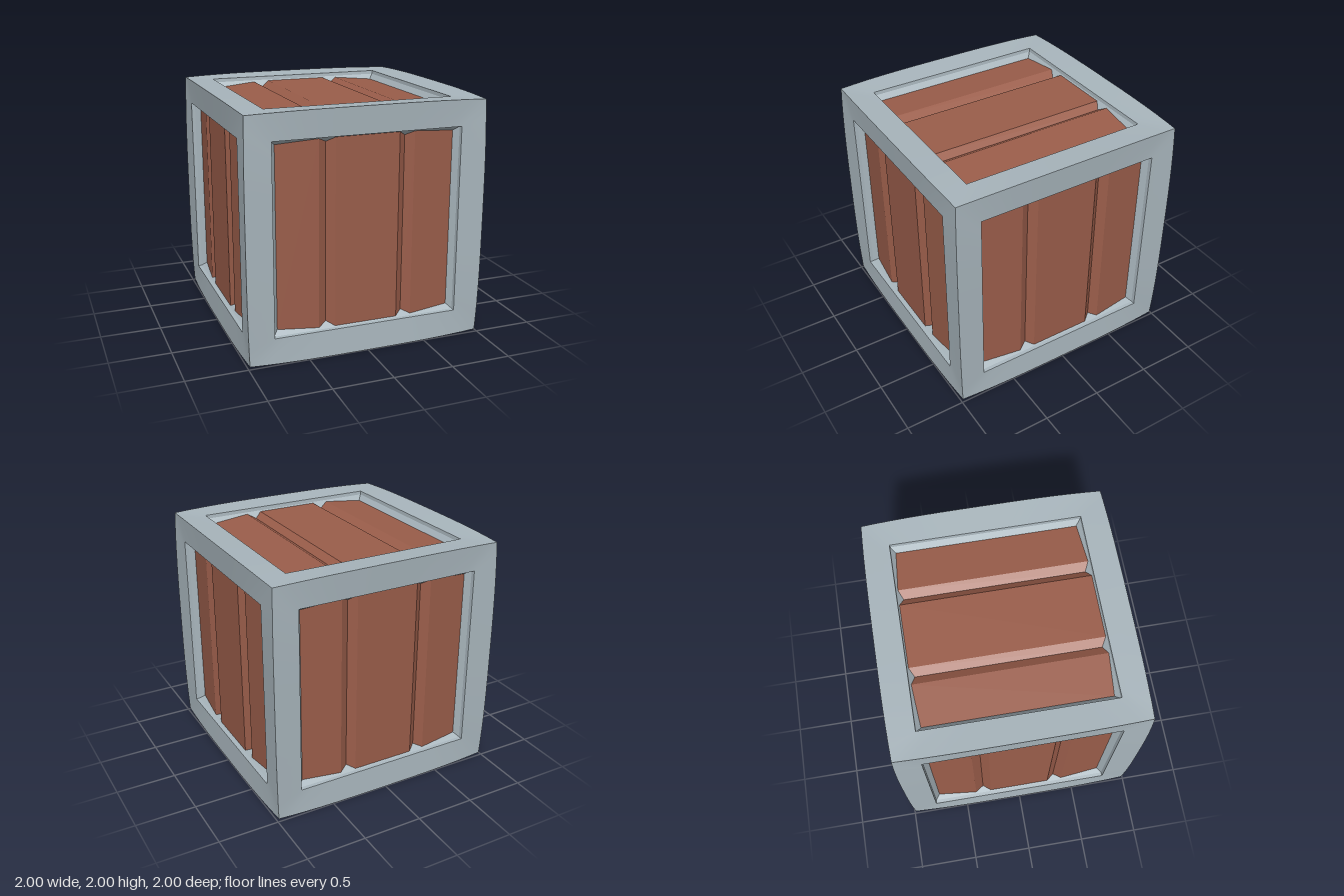
import * as THREE from 'three';
import { mergeGeometries, toCreasedNormals } from 'three/addons/utils/BufferGeometryUtils.js';

// Recess wall: half width and depth at the rim, at the bend and behind the planks
const RIM = [0.78, 0.015];
const BEND = [0.776, 0.045];
const BACK = [0.73, 0.1];

// Half width of the recess at a depth below the bend
function recessHalf(depth) {
  return THREE.MathUtils.mapLinear(depth, BEND[1], BACK[1], BEND[0], BACK[0]);
}

// One face of the frame: four mitred rails dished toward the rim, with recess walls
function frameGeometry() {
  const inner = [RIM, BEND, BACK];
  const rails = [];
  for (let k = 0; k < 4; k++) {
    const rail = new THREE.PlaneGeometry(1, 1, 16, inner.length);
    const p = rail.attributes.position, uv = rail.attributes.uv;
    for (let i = 0; i < p.count; i++) {
      const t = uv.getX(i) * 2 - 1;
      const row = Math.round((1 - uv.getY(i)) * inner.length);
      if (row === 0) {
        // outer edge of the cube, bulging slightly between its corners
        const bulge = 1 - 0.015 * Math.abs(t) ** 3;
        p.setXYZ(i, t * 0.985, bulge, bulge);
      } else {
        const [r, d] = inner[row - 1];
        p.setXYZ(i, t * r, r, 1 - d);
      }
    }
    rails.push(rail.rotateZ(k * Math.PI / 2));
  }
  return toCreasedNormals(mergeGeometries(rails), 0.4);
}

// One face of planking: a folded strip with two V grooves
function planksGeometry() {
  // x and depth below the face
  const profile = [
    [-0.738, 0.088], [-0.4, 0.058], [-0.33, 0.098], [-0.265, 0.054],
    [0.265, 0.054], [0.325, 0.098], [0.395, 0.058], [0.738, 0.088],
  ];
  const n = profile.length - 1;
  const strip = new THREE.PlaneGeometry(1, 1, n, 1);
  const p = strip.attributes.position, uv = strip.attributes.uv;
  for (let i = 0; i < p.count; i++) {
    const [x, d] = profile[Math.round(uv.getX(i) * n)];
    p.setXYZ(i, x, Math.sign(p.getY(i)) * recessHalf(d), 1 - d);
  }
  return toCreasedNormals(strip, 0.05);
}

export function createModel() {
  const crate = new THREE.Group();
  crate.name = 'crate';
  const metal = new THREE.MeshStandardMaterial({ color: 0xa8b5bc });
  const wood = new THREE.MeshStandardMaterial({ color: 0x9a5d4a });
  const frame = frameGeometry();
  const planks = planksGeometry();

  // The same face turned to all six sides
  const q = Math.PI / 2;
  const sides = {
    front: [0, 0], left: [0, q], back: [0, 2 * q], right: [0, -q], top: [-q, 0], bottom: [q, 0],
  };
  for (const [name, [rx, ry]] of Object.entries(sides)) {
    const side = new THREE.Group();
    side.name = name + 'Side';
    const frameMesh = new THREE.Mesh(frame, metal);
    frameMesh.name = name + 'Frame';
    const planksMesh = new THREE.Mesh(planks, wood);
    planksMesh.name = name + 'Planks';
    side.add(frameMesh, planksMesh);
    side.rotation.set(rx, ry, 0);
    side.position.y = 1;
    crate.add(side);
  }
  return crate;
}
